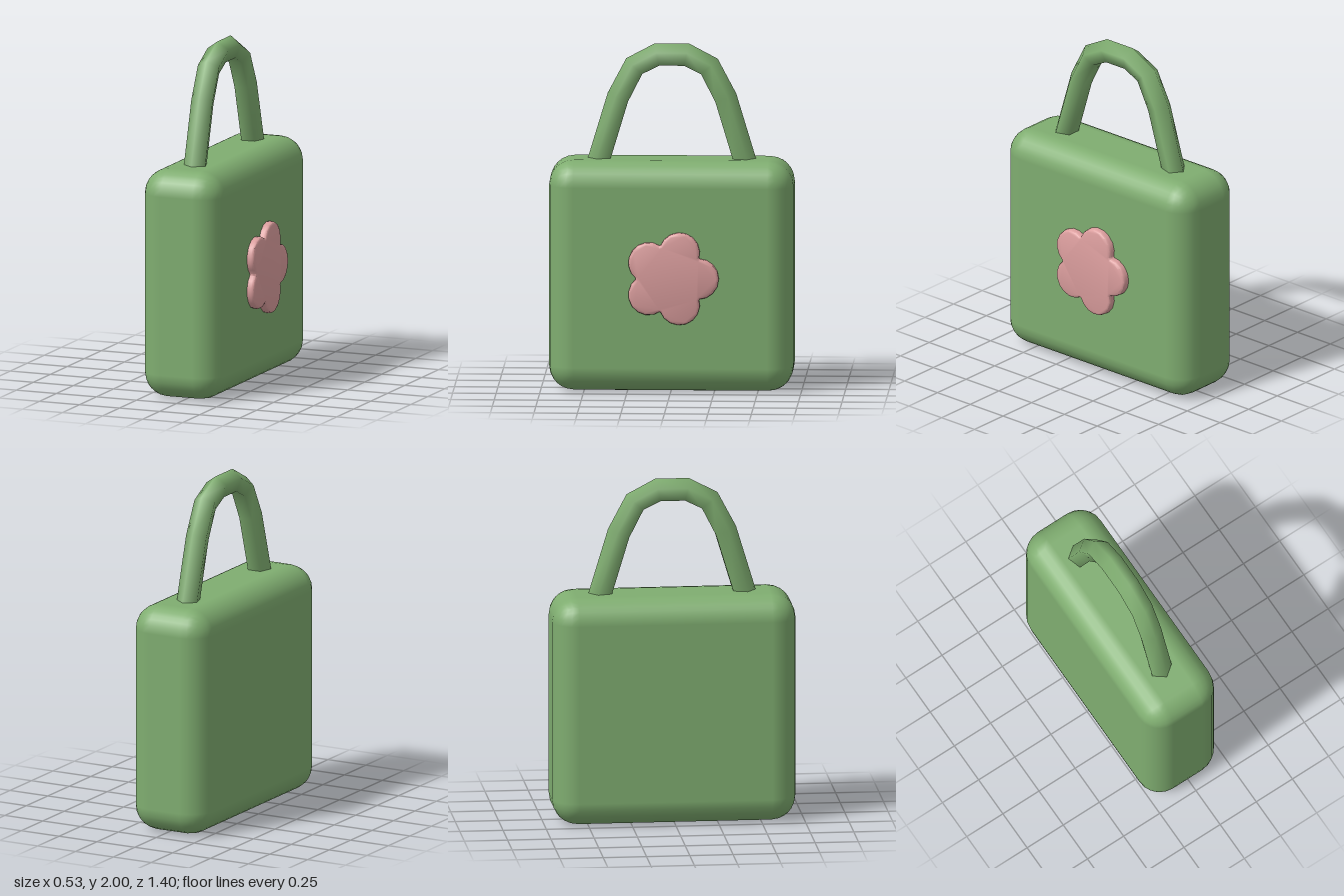
import * as THREE from 'three';
import { toCreasedNormals } from 'three/addons/utils/BufferGeometryUtils.js';
import { RoundedBoxGeometry } from 'three/addons/geometries/RoundedBoxGeometry.js';

const CENTRE_X = -0.022;

// Five-sided tube along a path in the z-y plane, with one corner facing outward
function handleGeometry(path, radius, sides) {
  const positions = [], indices = [];
  path.forEach((p, i) => {
    const before = path[Math.max(i - 1, 0)];
    const after = path[Math.min(i + 1, path.length - 1)];
    const tangent = after.clone().sub(before).normalize();
    const out = new THREE.Vector2(-tangent.y, tangent.x); // path runs from -z over the top to +z
    for (let j = 0; j < sides; j++) {
      const a = (j / sides) * Math.PI * 2;
      const r = radius * Math.cos(a);
      positions.push(CENTRE_X + radius * Math.sin(a), p.y + out.y * r, p.x + out.x * r);
    }
    if (i === 0) return;
    for (let j = 0; j < sides; j++) {
      const a = (i - 1) * sides + j, b = (i - 1) * sides + (j + 1) % sides;
      indices.push(a, b, a + sides, b, b + sides, a + sides);
    }
  });
  const geometry = new THREE.BufferGeometry();
  geometry.setAttribute('position', new THREE.Float32BufferAttribute(positions, 3));
  geometry.setIndex(indices);
  geometry.computeVertexNormals();
  return geometry;
}

// Outline of round petals meeting in sharp notches
function flowerShape(petals, distance, radius, steps) {
  const points = [];
  for (let i = 0; i < petals; i++) {
    const turn = (i / petals) * Math.PI * 2;
    for (let j = 0; j < steps; j++) {
      const a = turn + (j / (steps - 1) - 0.5) * Math.PI;
      points.push(new THREE.Vector2(
        distance * Math.cos(turn) + radius * Math.cos(a),
        distance * Math.sin(turn) + radius * Math.sin(a)));
    }
  }
  return new THREE.Shape(points);
}

export function createModel() {
  const model = new THREE.Group();
  model.name = 'bag';
  const green = new THREE.MeshStandardMaterial({ color: 0x7fad70, side: THREE.DoubleSide });
  const pink = new THREE.MeshStandardMaterial({ color: 0xdd9f9f });

  const add = (name, geometry, material) => {
    const mesh = new THREE.Mesh(geometry, material);
    mesh.name = name;
    model.add(mesh);
    return mesh;
  };

  // Body
  add('body', new RoundedBoxGeometry(0.49, 1.335, 1.405, 3, 0.145), green)
    .position.set(CENTRE_X, 0.6675, 0);

  // Arched handle: half the path, mirrored across z
  const half = [[0.44, 1.235], [0.41, 1.335], [0.304, 1.686], [0.211, 1.865], [0.083, 1.931]];
  const path = [
    ...half.map(([z, y]) => new THREE.Vector2(-z, y)),
    ...half.toReversed().map(([z, y]) => new THREE.Vector2(z, y)),
  ];
  add('handle', handleGeometry(path, 0.07, 5), green);

  // Raised flower on the +x side
  const flower = new THREE.ExtrudeGeometry(flowerShape(5, 0.158, 0.102, 9), {
    depth: 0.05, bevelThickness: 0.018, bevelSize: 0.015, bevelSegments: 2,
  });
  flower.rotateY(Math.PI / 2);
  add('flower', toCreasedNormals(flower, 0.8), pink).position.set(0.197, 0.67, -0.005);

  return model;
}
